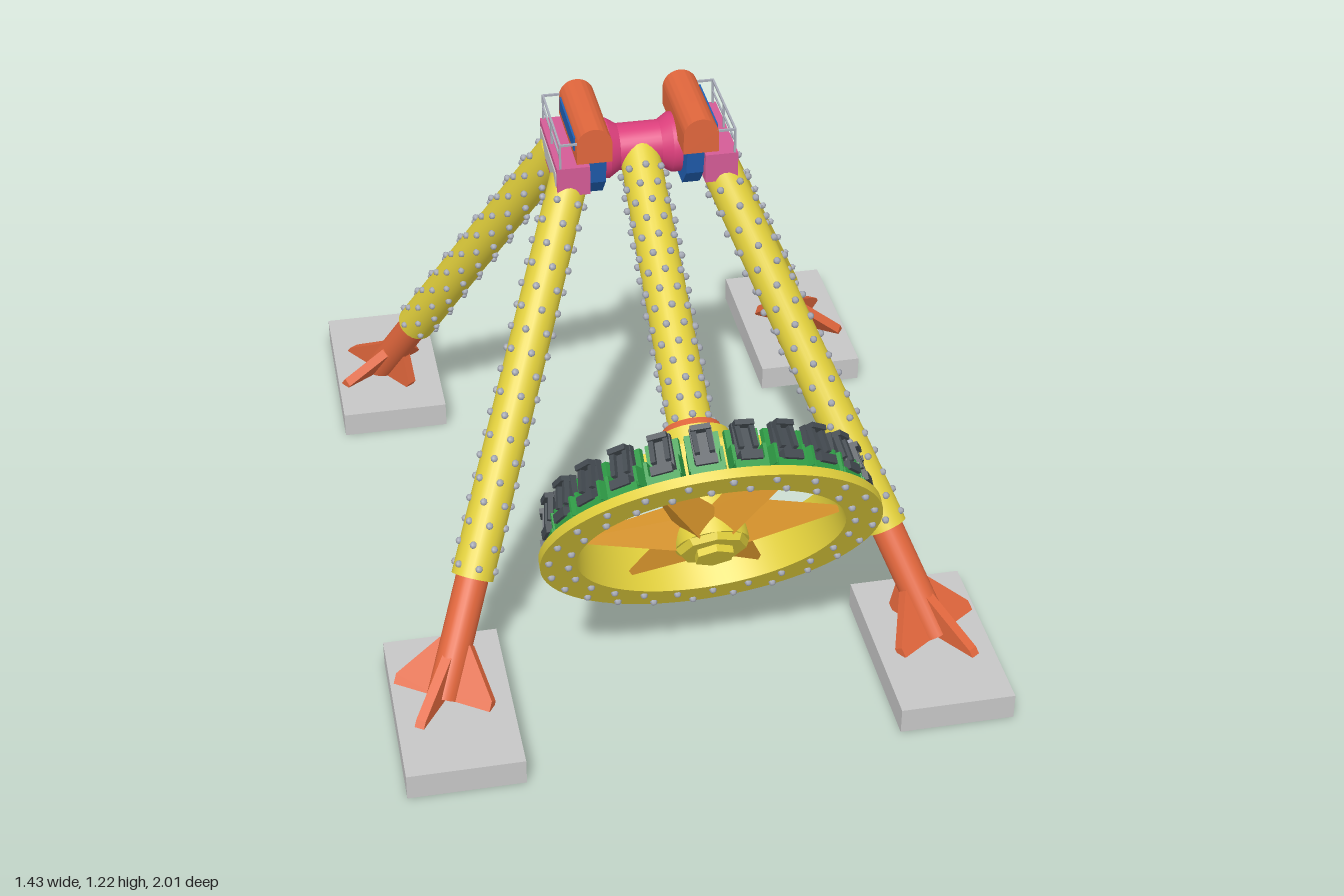
import * as THREE from 'three';
import { mergeGeometries, toCreasedNormals } from 'three/addons/utils/BufferGeometryUtils.js';

const mat = (name, color, side = THREE.FrontSide) => {
  const m = new THREE.MeshStandardMaterial({ color, side });
  m.name = name;
  return m;
};

export function createModel() {
  const yellow = mat('yellow paint', 0xe2d03c), gold = mat('gold paint', 0xe09a2e);
  const orange = mat('orange paint', 0xe0663c), pink = mat('pink paint', 0xdc3f7c);
  const rose = mat('rose paint', 0xd45c96), blue = mat('blue paint', 0x2160b4);
  const concrete = mat('concrete', 0xc6c6c6), steel = mat('steel', 0xa8acb8);
  const green = mat('green paint', 0x2f9c46), dark = mat('dark seat', 0x434a50);

  const model = new THREE.Group();
  model.name = 'pendulumRide';
  const add = (parent, name, geo, material, x = 0, y = 0, z = 0) => {
    const m = new THREE.Mesh(geo, material);
    m.name = name;
    m.position.set(x, y, z);
    parent.add(m);
    return m;
  };
  const box = (w, h, d, x = 0, y = 0, z = 0) => new THREE.BoxGeometry(w, h, d).translate(x, y, z);
  const cyl = (r1, r2, h, y, n = 24) => new THREE.CylinderGeometry(r1, r2, h, n).translate(0, y, 0);
  const lathe = (pts, n = 64) => toCreasedNormals(
    new THREE.LatheGeometry(pts.map(p => new THREE.Vector2(...p)), n), 0.5);
  // flat shape extruded symmetrically about z = 0
  const plate = (shape, depth) => new THREE.ExtrudeGeometry(shape, { depth, bevelEnabled: false, curveSegments: 16 })
    .translate(0, 0, -depth / 2);
  const poly = pts => new THREE.Shape(pts.map(p => new THREE.Vector2(...p)));
  const rivet = (x, y, z) => new THREE.SphereGeometry(0.009, 6, 4).translate(x, y, z);
  // staggered rings of rivets around a tube along y
  const rivets = (r, y0, y1, step = 0.052, n = 6) => {
    const list = [];
    const rows = Math.round((y1 - y0) / step);
    for (let i = 0; i <= rows; i++) for (let k = 0; k < n; k++) {
      const a = (k + (i % 2) / 2) / n * Math.PI * 2;
      list.push(rivet((r + 0.004) * Math.sin(a), y0 + (y1 - y0) * i / rows, (r + 0.004) * Math.cos(a)));
    }
    return mergeGeometries(list);
  };

  const ZC = -0.055; // centre line of the frame
  const up = new THREE.Vector3(0, 1, 0);

  // four legs with footings
  const finShape = poly([[0, 0], [0.125, 0], [0.125, 0.025], [0.04, 0.135], [0, 0.135]]);
  for (const sx of [-1, 1]) for (const sz of [-1, 1]) {
    const foot = new THREE.Vector3(sx * 0.598, 0.06, ZC + sz * 0.69);
    const top = new THREE.Vector3(sx * 0.178, 1.065, ZC + sz * 0.072);
    const dir = top.clone().sub(foot);
    const len = dir.length();
    dir.normalize();

    add(model, 'footing', box(0.274, 0.065, 0.47), concrete, sx * 0.578, 0.0325, ZC + sz * 0.71);

    const leg = new THREE.Group();
    leg.name = 'leg';
    leg.position.copy(foot);
    leg.quaternion.setFromUnitVectors(up, dir);
    model.add(leg);
    add(leg, 'legLower', cyl(0.039, 0.039, 0.31, 0.155), orange);
    add(leg, 'legTube', cyl(0.046, 0.05, len - 0.29, (len + 0.29) / 2), yellow);
    add(leg, 'legRivets', rivets(0.047, 0.315, len - 0.06), steel);

    // gusset fins that lean with the leg
    const out = new THREE.Vector3(-dir.x, 0, -dir.z).normalize();
    const fins = [];
    for (let k = 0; k < 4; k++) {
      const radial = out.clone().applyAxisAngle(up, k * Math.PI / 2);
      const normal = radial.clone().cross(dir).normalize();
      fins.push(plate(finShape, 0.024).applyMatrix4(new THREE.Matrix4().makeBasis(radial, dir, normal)));
    }
    add(model, 'footFins', mergeGeometries(fins), orange, foot.x, foot.y, foot.z);
  }

  // flared axle between the two bearing towers
  add(model, 'axle', lathe([[0, -0.1], [0.072, -0.1], [0.072, -0.075], [0.056, -0.05], [0.056, 0.05],
    [0.072, 0.075], [0.072, 0.1], [0, 0.1]], 32).rotateZ(Math.PI / 2), pink, 0, 1.09, ZC - 0.005);

  // bearing towers, mirrored left and right
  const bearing = poly([[-0.055, 1.01], [0.055, 1.01], [0.1, 1.06], [0.115, 1.135], [-0.115, 1.135], [-0.1, 1.06]]);
  const cover = new THREE.Shape();
  cover.moveTo(-0.042, 1.127);
  cover.lineTo(0.042, 1.127);
  cover.lineTo(0.042, 1.173);
  cover.absarc(0, 1.173, 0.042, 0, Math.PI, false);
  cover.closePath();
  for (const s of [-1, 1]) {
    const tower = new THREE.Group();
    tower.name = s > 0 ? 'leftTower' : 'rightTower';
    tower.position.z = ZC;
    model.add(tower);
    add(tower, 'bearingBlock', plate(bearing, 0.042).rotateY(Math.PI / 2), blue, s * 0.117);
    add(tower, 'towerBox', box(0.078, 0.073, 0.25), rose, s * 0.176, 1.082);
    add(tower, 'sidePanel', box(0.004, 0.042, 0.226), concrete, s * 0.2155, 1.082);
    add(tower, 'motorCover', toCreasedNormals(plate(cover, 0.25), 0.6), orange, s * 0.126);
    add(tower, 'coverSlot', box(0.006, 0.034, 0.2), blue, s * 0.168, 1.167);
    const rail = [box(0.005, 0.005, 0.25, 0, 1.18, 0), box(0.004, 0.004, 0.25, 0, 1.15, 0)];
    for (const z of [-0.1225, 0, 0.1225]) rail.push(box(0.005, 0.062, 0.005, 0, 1.149, z));
    for (const z of [-0.1225, 0.1225]) rail.push(box(0.045, 0.005, 0.005, -s * 0.022, 1.18, z));
    add(tower, 'handrail', mergeGeometries(rail), steel, s * 0.207);
  }

  // swinging arm: local -y runs from the axle to the wheel
  const swing = new THREE.Group();
  swing.name = 'pendulum';
  swing.position.set(0, 1.09, ZC);
  swing.rotation.x = -THREE.MathUtils.degToRad(58.6);
  model.add(swing);
  add(swing, 'armTube', cyl(0.048, 0.051, 0.73, -0.385), yellow);
  add(swing, 'armRivets', rivets(0.05, -0.72, -0.08, 0.045, 8), steel);
  add(swing, 'armCollar', cyl(0.066, 0.076, 0.025, -0.747, 32), orange);
  add(swing, 'hub', cyl(0.083, 0.083, 0.26, -0.885, 32), yellow);
  add(swing, 'hubCap', toCreasedNormals(cyl(0.083, 0.074, 0.015, -1.0225, 8), 0.3), yellow);
  add(swing, 'hubNut', toCreasedNormals(cyl(0.046, 0.046, 0.02, -1.037, 6), 0.3), yellow);

  // wheel rim: wide front flange with a narrower drum behind
  const rim = [[0.302, -1.01], [0.385, -1.01], [0.385, -0.988], [0.318, -0.98], [0.318, -0.89], [0.286, -0.89], [0.302, -1.01]];
  add(swing, 'wheelRim', lathe(rim, 72), yellow);
  const rimRivets = [];
  for (let i = 0; i < 48; i++) {
    const a = i / 48 * Math.PI * 2, r = i % 2 ? 0.322 : 0.366;
    rimRivets.push(rivet(r * Math.sin(a), -1.012, r * Math.cos(a)));
  }
  add(swing, 'rimRivets', mergeGeometries(rimRivets), steel);

  // six tapered four-sided spokes
  const spokes = [];
  for (let i = 0; i < 6; i++) {
    spokes.push(new THREE.CylinderGeometry(0.008, 0.06, 0.25, 4).toNonIndexed().translate(0, 0.175, 0)
      .rotateZ(-Math.PI / 2).rotateY(i * Math.PI / 3).translate(0, -0.965, 0));
  }
  add(swing, 'spokes', toCreasedNormals(mergeGeometries(spokes), 0.3), gold);

  // outward-facing seats around the drum
  const N = 24, shells = [], cushions = [];
  const place = (g, a) => g.translate(0, -0.93, 0.318).rotateY(a);
  for (let i = 0; i < N; i++) {
    const a = (i + 0.5) / N * Math.PI * 2;
    shells.push(place(box(0.074, 0.1, 0.014, 0, 0, 0.006), a));
    shells.push(place(box(0.074, 0.022, 0.046, 0, -0.044, 0.026), a));
    cushions.push(place(box(0.048, 0.095, 0.016, 0, 0.012, 0.019), a));
    cushions.push(place(box(0.048, 0.02, 0.042, 0, -0.026, 0.036), a));
    for (const s of [-1, 1]) {
      shells.push(place(box(0.008, 0.045, 0.04, s * 0.035, -0.02, 0.025), a));
      cushions.push(place(box(0.011, 0.06, 0.012, s * 0.016, 0.018, 0.042).rotateX(-0.15), a));
    }
    cushions.push(place(box(0.043, 0.012, 0.032, 0, 0.052, 0.032), a));
  }
  add(swing, 'seatShells', mergeGeometries(shells), green);
  add(swing, 'seatCushions', mergeGeometries(cushions), dark);

  return model;
}
